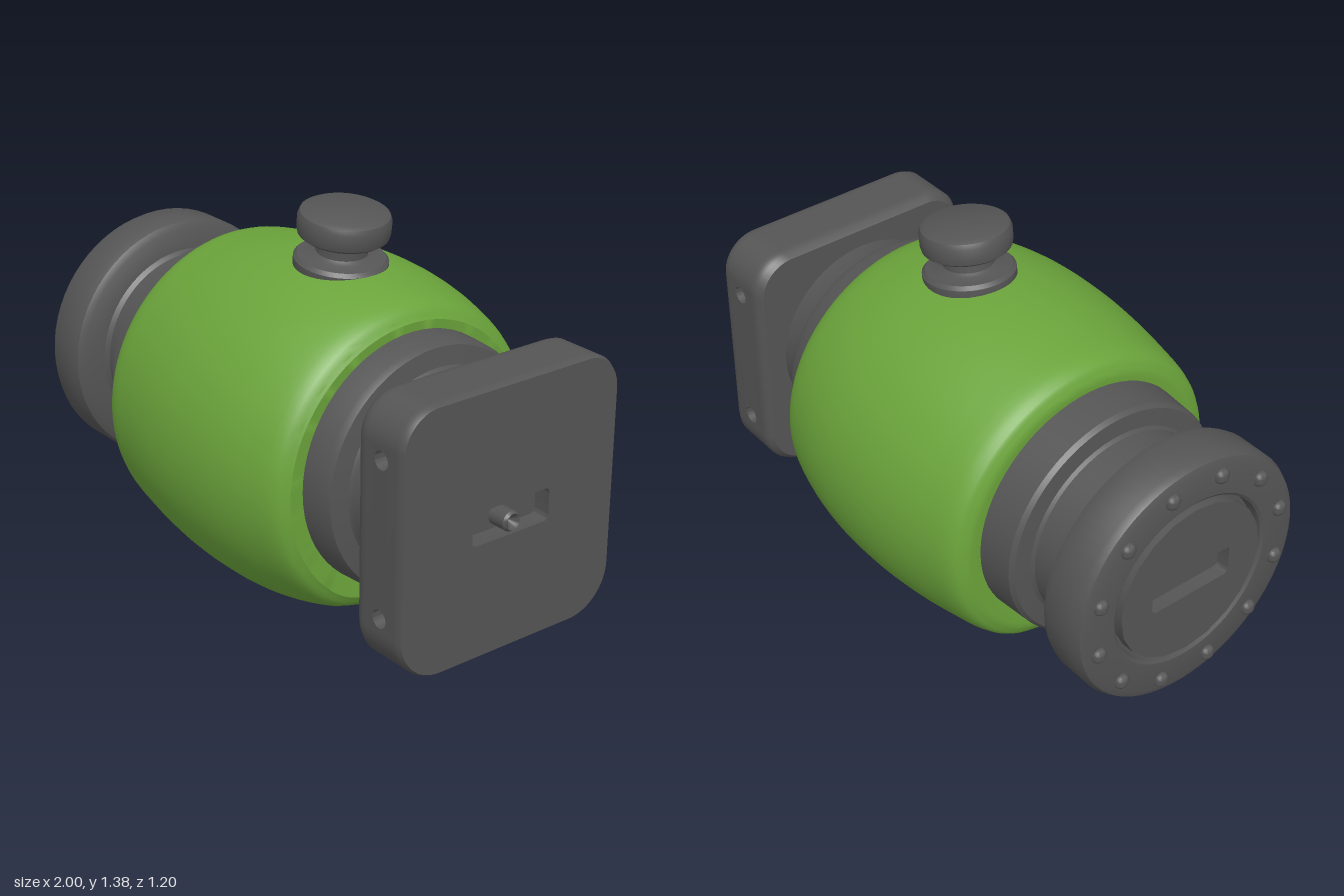
import * as THREE from 'three';
import { toCreasedNormals } from 'three/addons/utils/BufferGeometryUtils.js';

const green = new THREE.MeshStandardMaterial({ color: 0x6ba43b });
green.name = 'green';
const grey = new THREE.MeshStandardMaterial({ color: 0x555555 });
grey.name = 'darkGrey';

const CY = 0.605; // height of the square flange centre

function add(group, name, geo, mat, x = 0, y = 0, z = 0) {
  const mesh = new THREE.Mesh(toCreasedNormals(geo, 0.6), mat);
  mesh.name = name;
  mesh.position.set(x, y, z);
  group.add(mesh);
  return mesh;
}

// Turned part; profile is [radius, position along axis]
const lathe = (pts, n = 64) =>
  new THREE.LatheGeometry(pts.map(([r, a]) => new THREE.Vector2(r, a)), n);
const latheX = (pts, n) => lathe(pts, n).rotateZ(-Math.PI / 2);

// Extrude a (z, y) outline along x from x0 to x1
function extrudeX(shape, x0, x1, steps = 1) {
  return new THREE.ExtrudeGeometry(shape, { depth: x1 - x0, steps, bevelEnabled: false, curveSegments: 10 })
    .rotateY(Math.PI / 2).translate(x0, 0, 0);
}

function slotPath(w, h, r) {
  const p = new THREE.Path();
  p.moveTo(-w + r, -h);
  p.lineTo(w - r, -h).quadraticCurveTo(w, -h, w, -h + r);
  p.lineTo(w, h - r).quadraticCurveTo(w, h, w - r, h);
  p.lineTo(-w + r, h).quadraticCurveTo(-w, h, -w, h - r);
  p.lineTo(-w, -h + r).quadraticCurveTo(-w, -h, -w + r, -h);
  return p;
}

const holeY = [-0.25, 0.28];

// Rounded square outline, optionally notched at the side holes
function flangeShape(notched) {
  const w = 0.437, h = 0.455, rb = 0.16, rt = 0.13, n = 0.04, d = 0.06;
  const s = new THREE.Shape();
  s.moveTo(-w + rb, -h);
  s.lineTo(w - rb, -h);
  s.absarc(w - rb, -h + rb, rb, -Math.PI / 2, 0, false);
  if (notched) for (const y of holeY) {
    s.lineTo(w, y - n).lineTo(w - d, y - n).lineTo(w - d, y + n).lineTo(w, y + n);
  }
  s.lineTo(w, h - rt);
  s.absarc(w - rt, h - rt, rt, 0, Math.PI / 2, false);
  s.absarc(-w + rt, h - rt, rt, Math.PI / 2, Math.PI, false);
  if (notched) for (const y of [...holeY].reverse()) {
    s.lineTo(-w, y + n).lineTo(-w + d, y + n).lineTo(-w + d, y - n).lineTo(-w, y - n);
  }
  s.lineTo(-w, -h + rb);
  s.absarc(-w + rb, -h + rb, rb, Math.PI, Math.PI * 1.5, false);
  return s;
}

// Soften the two rims of the square flange
function softenRims(geo) {
  const p = geo.attributes.position;
  for (let i = 0; i < p.count; i++) {
    const x = p.getX(i);
    const k = x < 0.78 ? 0.955 : x < 0.8 ? 0.985 : x > 0.985 ? 0.985 : 1;
    p.setY(i, p.getY(i) * k);
    p.setZ(i, p.getZ(i) * k);
  }
  return geo;
}

export function createModel() {
  const model = new THREE.Group();
  model.name = 'valve';

  // Barrel body, slightly pinched towards its lowest line
  const profile = new THREE.CatmullRomCurve3([
    [0.49, -0.47], [0.53, -0.445], [0.567, -0.3], [0.592, -0.12], [0.6, 0.03],
    [0.594, 0.2], [0.567, 0.36], [0.525, 0.48], [0.485, 0.51],
  ].map(([r, x]) => new THREE.Vector3(r, x, 0))).getPoints(36).map((v) => [v.x, v.y]);
  const body = latheX([[0.4, -0.465], [0.47, -0.472], ...profile, [0.4, 0.505]], 96);
  const bp = body.attributes.position;
  for (let i = 0; i < bp.count; i++) {
    const phi = Math.abs(Math.atan2(bp.getZ(i), -bp.getY(i)));
    const k = 1 - 0.045 * Math.exp(-(((phi - 0.3) / 0.2) ** 2));
    bp.setY(i, bp.getY(i) * k);
    bp.setZ(i, bp.getZ(i) * k);
  }
  body.computeVertexNormals();
  add(model, 'body', body, green, 0, 0.61, 0);

  // Round flange with neck and collar
  const round = new THREE.Group();
  round.name = 'roundEnd';
  round.position.y = 0.63;
  model.add(round);
  add(round, 'roundFlange', latheX([
    [0, -0.93], [0.3, -0.93], [0.305, -0.968], [0.315, -0.975], [0.42, -0.975], [0.443, -0.965],
    [0.455, -0.94], [0.455, -0.825], [0.447, -0.8], [0.425, -0.785], [0.35, -0.775],
    [0.338, -0.76], [0.345, -0.63], [0.355, -0.62], [0.415, -0.615], [0.427, -0.6], [0.437, -0.45],
  ]), grey);
  const disc = new THREE.Shape().absarc(0, 0, 0.288, 0, Math.PI * 2, false);
  disc.holes.push(slotPath(0.16, 0.055, 0.02));
  add(round, 'roundFacePlate', extrudeX(disc, -0.978, -0.925), grey);
  for (let i = 0; i < 12; i++) {
    const a = ((i + 0.5) / 12) * Math.PI * 2;
    const bolt = new THREE.SphereGeometry(0.028, 14, 10).scale(0.85, 1, 1);
    add(round, 'flangeBolt', bolt, grey, -0.974, Math.sin(a) * 0.385, Math.cos(a) * 0.385);
  }

  // Collar and neck on the square end
  add(model, 'squareEndNeck', latheX([
    [0.437, 0.47], [0.43, 0.6], [0.418, 0.625], [0.355, 0.635], [0.345, 0.65], [0.345, 0.8],
  ]), grey, 0, 0.63, 0);

  // Square flange in three layers, the middle one carrying the side holes
  const square = new THREE.Group();
  square.name = 'squareEnd';
  square.position.y = CY;
  model.add(square);
  add(square, 'squareFlangeBack', softenRims(extrudeX(flangeShape(false), 0.77, 0.855, 5)), grey);
  add(square, 'squareFlangeMiddle', extrudeX(flangeShape(true), 0.855, 0.925), grey);
  const face = flangeShape(false);
  face.holes.push(slotPath(0.16, 0.057, 0.02));
  add(square, 'squareFlangeFace', softenRims(extrudeX(face, 0.925, 0.99, 4)), grey);

  // Side plates with round holes
  const plate = new THREE.Shape();
  plate.moveTo(-0.035, -0.04);
  plate.lineTo(0.035, -0.04).lineTo(0.035, 0.04).lineTo(-0.035, 0.04).closePath();
  plate.holes.push(new THREE.Path().absarc(0, 0, 0.031, 0, Math.PI * 2, true));
  for (const y of holeY) for (const z of [-0.437, 0.377]) {
    const geo = new THREE.ExtrudeGeometry(plate, { depth: 0.06, bevelEnabled: false, curveSegments: 16 });
    add(square, 'sideHole', geo, grey, 0.89, y, z);
  }

  // Screw in the slot, with a hollow head
  add(square, 'slotScrew', latheX([
    [0.035, 0.92], [0.035, 0.99], [0.028, 1.0], [0.02, 0.995], [0, 0.965],
  ], 20), grey, 0, -0.012, 0);

  // Tilted knob on top
  const knob = add(model, 'topKnob', lathe([
    [0, -0.03], [0.15, -0.03], [0.157, 0.0], [0.157, 0.03], [0.145, 0.042], [0.1, 0.046], [0.086, 0.056],
    [0.084, 0.1], [0.095, 0.107], [0.135, 0.107], [0.15, 0.118], [0.154, 0.135],
    [0.154, 0.175], [0.147, 0.192], [0.13, 0.201], [0, 0.203],
  ], 48), grey, 0.14, 1.18, 0);
  knob.rotation.z = -0.13;

  return model;
}
